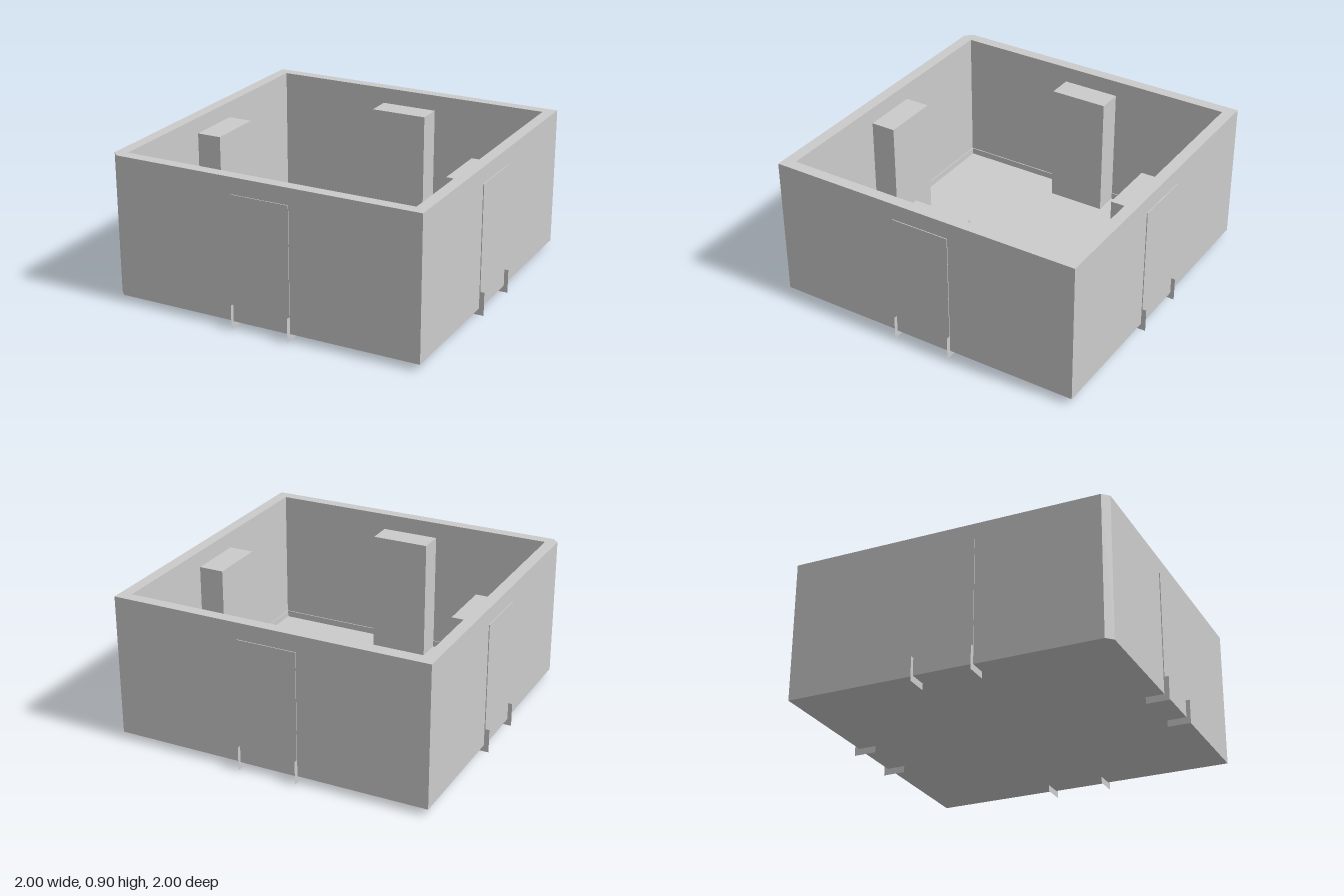
import * as THREE from 'three';

const material = new THREE.MeshStandardMaterial({ color: 0xcccccc, flatShading: true, side: THREE.DoubleSide });

const OUTER = 0.97, INNER = 0.9, CHAMFER = 0.04;
const BASE_Y = 0.04, FLOOR_Y = 0.045, RIM_Y = 0.9;

// Square outline with its front right corner cut off by c
function squarePoints(r, c = 0) {
  const points = [[r, -r], [r, r], [-r, r]];
  points.push(...(c ? [[-r, -r + c], [-r + c, -r]] : [[-r, -r]]));
  return points.map(([x, y]) => new THREE.Vector2(x, y));
}

// Extrude a plan outline upwards from y0 to y1
function slab(name, outline, hole, y0, y1) {
  const shape = new THREE.Shape(outline);
  if (hole) shape.holes.push(new THREE.Path(hole));
  const geometry = new THREE.ExtrudeGeometry(shape, { depth: y1 - y0, bevelEnabled: false });
  geometry.rotateX(-Math.PI / 2).translate(0, y0, 0);
  const mesh = new THREE.Mesh(geometry, material);
  mesh.name = name;
  return mesh;
}

// Pillar set in the front wall, with a thin L-shaped clip on each flank
function createWallMount() {
  const mount = new THREE.Group();
  const width = 0.36, zIn = 0.745, zOut = 0.975, top = 0.8;
  const pillar = new THREE.Mesh(new THREE.BoxGeometry(width, top - BASE_Y, zOut - zIn), material);
  pillar.position.set(0, (top + BASE_Y) / 2, (zIn + zOut) / 2);
  pillar.name = 'pillar';
  mount.add(pillar);

  const profile = new THREE.Shape([
    [0.86, 0], [1, 0], [1, 0.145], [OUTER, 0.145], [OUTER, BASE_Y], [0.86, BASE_Y],
  ].map(([x, y]) => new THREE.Vector2(x, y)));
  const clipGeometry = new THREE.ShapeGeometry(profile).rotateY(-Math.PI / 2);
  for (const side of [-1, 1]) {
    const clip = new THREE.Mesh(clipGeometry, material);
    clip.position.x = side * width / 2;
    clip.name = side > 0 ? 'leftClip' : 'rightClip';
    mount.add(clip);
  }
  return mount;
}

export function createModel() {
  const model = new THREE.Group();
  model.name = 'openBox';

  // Tray: base plate, four walls and a low skirting around the floor
  const outline = squarePoints(OUTER, CHAMFER);
  model.add(slab('basePlate', outline, null, BASE_Y, FLOOR_Y));
  model.add(slab('walls', outline, squarePoints(INNER), FLOOR_Y, RIM_Y));
  model.add(slab('skirting', squarePoints(INNER), squarePoints(INNER - 0.006), FLOOR_Y, 0.085));

  // One mount in the middle of each wall
  ['front', 'left', 'back', 'right'].forEach((side, i) => {
    const mount = createWallMount();
    mount.name = side + 'Mount';
    mount.rotation.y = i * Math.PI / 2;
    model.add(mount);
  });
  return model;
}
